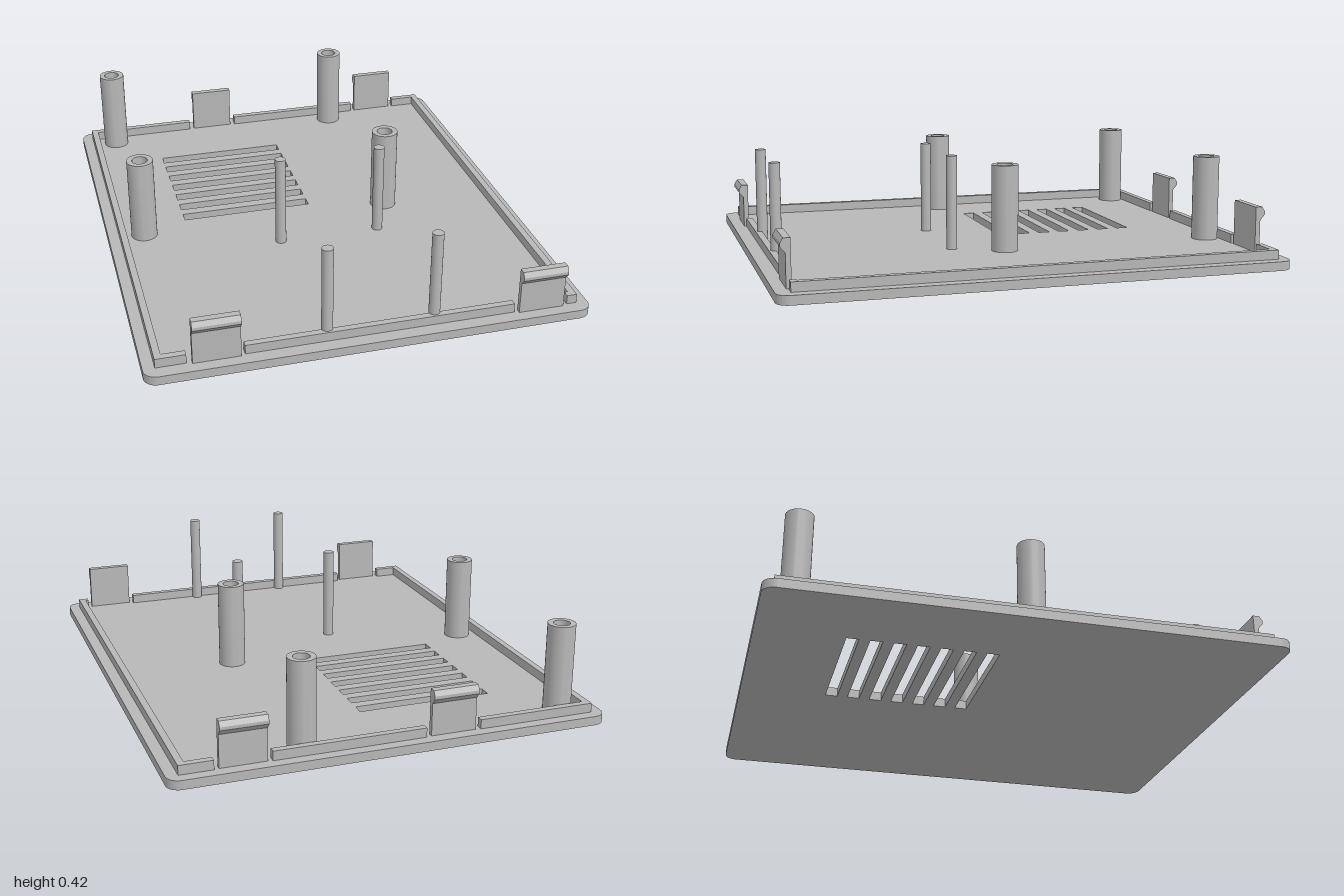
import * as THREE from 'three';
import { toCreasedNormals } from 'three/addons/utils/BufferGeometryUtils.js';

const BASE_TOP = 0.036;
const RIM_TOP = 0.073;

export function createModel() {
  const model = new THREE.Group();
  const plastic = new THREE.MeshStandardMaterial({ color: 0xb8b8b8 });
  plastic.name = 'grey plastic';

  const add = (name, geometry, x = 0, y = 0, z = 0) => {
    const mesh = new THREE.Mesh(geometry, plastic);
    mesh.name = name;
    mesh.position.set(x, y, z);
    model.add(mesh);
    return mesh;
  };

  // Extrude a plan outline upwards; plan y becomes -z
  const extrudeUp = (shape, height) => {
    const g = new THREE.ExtrudeGeometry(shape, { depth: height, bevelEnabled: false, curveSegments: 20 });
    return toCreasedNormals(g.rotateX(-Math.PI / 2), 0.6);
  };

  // Base plate with rounded corners and vent slots
  const w = 0.86, d = 1, r = 0.05;
  const plate = new THREE.Shape();
  plate.moveTo(-w + r, -d);
  plate.lineTo(w - r, -d);
  plate.absarc(w - r, -d + r, r, -Math.PI / 2, 0);
  plate.absarc(w - r, d - r, r, 0, Math.PI / 2);
  plate.absarc(-w + r, d - r, r, Math.PI / 2, Math.PI);
  plate.absarc(-w + r, -d + r, r, Math.PI, Math.PI * 1.5);
  for (let i = 0; i < 7; i++) {
    const y0 = 0.656 - i * 0.0905, y1 = y0 - 0.048;
    const slot = new THREE.Path();
    slot.moveTo(-0.525, y0);
    slot.lineTo(0.02, y0);
    slot.lineTo(0.02, y1);
    slot.lineTo(-0.525, y1);
    slot.closePath();
    plate.holes.push(slot);
  }
  add('basePlate', extrudeUp(plate, BASE_TOP));

  // Locating rim, interrupted at the clips
  const rimPiece = (name, x0, x1, z0, z1) =>
    add(name, new THREE.BoxGeometry(x1 - x0, RIM_TOP - BASE_TOP, z1 - z0),
      (x0 + x1) / 2, (BASE_TOP + RIM_TOP) / 2, (z0 + z1) / 2);
  rimPiece('rightRim', -0.815, -0.788, -0.957, 0.945);
  rimPiece('leftRim', 0.788, 0.815, -0.957, 0.945);
  for (const [x0, x1] of [[-0.788, -0.345], [-0.125, 0.47], [0.685, 0.788]])
    rimPiece('backRim', x0, x1, -0.957, -0.93);
  for (const [x0, x1] of [[-0.788, -0.70], [-0.485, 0.56], [0.775, 0.788]])
    rimPiece('frontRim', x0, x1, 0.918, 0.945);

  // Snap clips: side profile (outward, up) with a hooked lip
  const profile = new THREE.Shape([
    [0.933, BASE_TOP], [0.953, BASE_TOP], [0.953, 0.165], [0.972, 0.187],
    [0.972, 0.2], [0.96, 0.219], [0.933, 0.219],
  ].map(([x, y]) => new THREE.Vector2(x, y)));
  const clipGeometry = new THREE.ExtrudeGeometry(profile, { depth: 0.18, bevelEnabled: false });
  clipGeometry.translate(0, 0, -0.09).rotateY(-Math.PI / 2);
  for (const x of [-0.59, 0.667]) add('frontClip', clipGeometry, x);
  for (const x of [-0.235, 0.577]) add('backClip', clipGeometry, x).rotation.y = Math.PI;

  // Hollow screw posts
  const ring = new THREE.Shape().absarc(0, 0, 0.054, 0, Math.PI * 2);
  ring.holes.push(new THREE.Path().absarc(0, 0, 0.032, 0, Math.PI * 2, true));
  const postGeometry = extrudeUp(ring, 0.385 - BASE_TOP);
  for (const x of [-0.71, 0.335])
    for (const z of [-0.875, 0.01]) add('screwPost', postGeometry, x, BASE_TOP, z);

  // Slim locating pins
  const pinHeight = 0.417 - BASE_TOP;
  const pinGeometry = new THREE.CylinderGeometry(0.022, 0.022, pinHeight, 32);
  for (const x of [-0.17, 0.247])
    for (const z of [0.207, 0.915]) add('locatingPin', pinGeometry, x, BASE_TOP + pinHeight / 2, z);

  return model;
}
